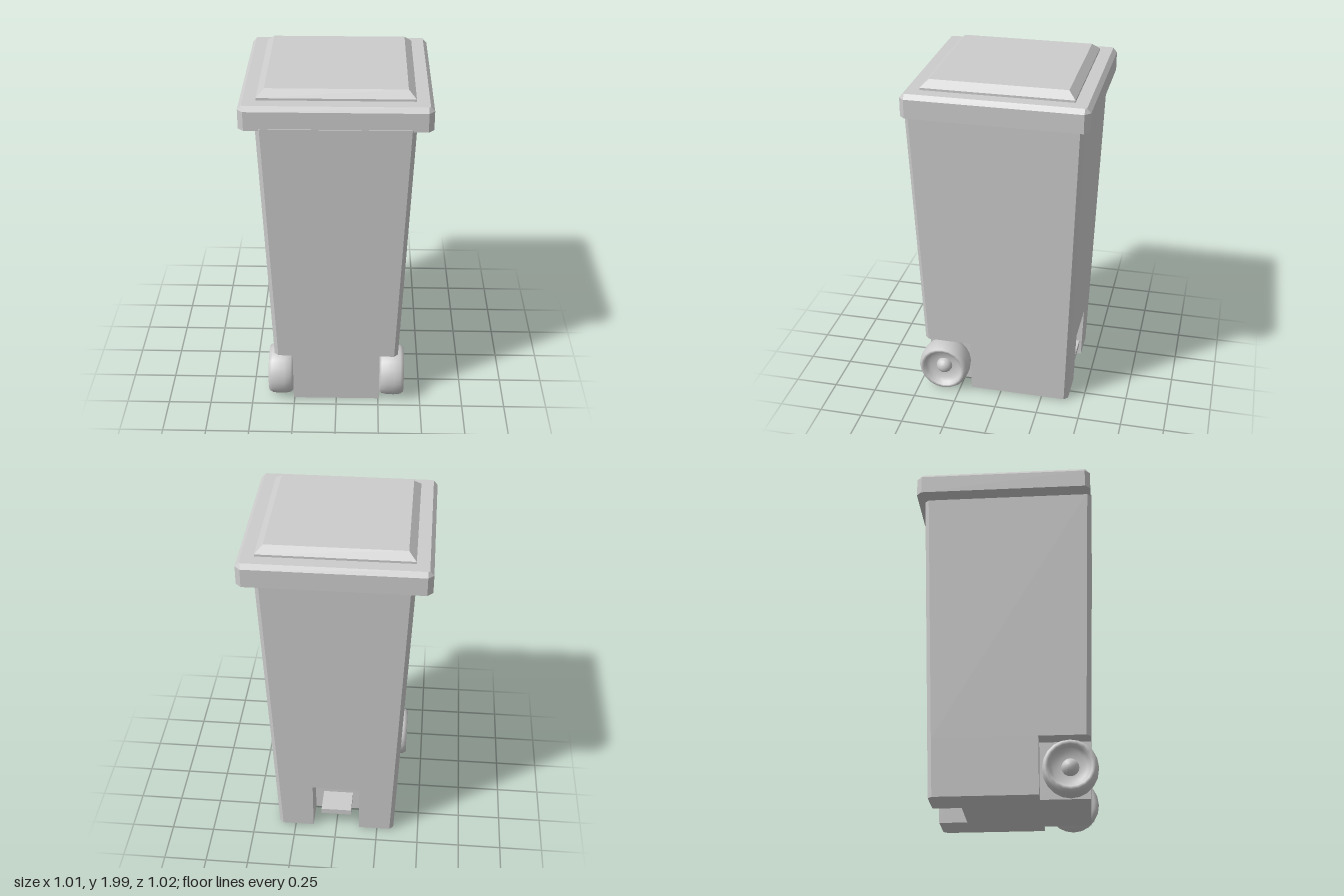
import * as THREE from 'three';

const material = new THREE.MeshStandardMaterial({ color: 0xcccccc });
const flat = new THREE.MeshStandardMaterial({ color: 0xcccccc, flatShading: true });

// Joins horizontal rings of [x, z] corners, given as { y, ring }, and caps the ends.
function loft(levels, capBottom = true, capTop = true) {
  const pos = [];
  const put = (level, i) => pos.push(level.ring[i][0], level.y, level.ring[i][1]);
  for (let k = 0; k < levels.length - 1; k++) {
    const lo = levels[k], hi = levels[k + 1], n = lo.ring.length;
    for (let i = 0; i < n; i++) {
      const j = (i + 1) % n;
      put(lo, i); put(lo, j); put(hi, j);
      put(lo, i); put(hi, j); put(hi, i);
    }
  }
  const cap = (level, up) => {
    const outline = level.ring.map(([x, z]) => new THREE.Vector2(x, -z));
    for (const [a, b, c] of THREE.ShapeUtils.triangulateShape(outline, [])) {
      for (const i of up ? [a, b, c] : [c, b, a]) put(level, i);
    }
  };
  if (capBottom) cap(levels[0], false);
  if (capTop) cap(levels[levels.length - 1], true);
  const geometry = new THREE.BufferGeometry();
  geometry.setAttribute('position', new THREE.Float32BufferAttribute(pos, 3));
  geometry.computeVertexNormals();
  return geometry;
}

// Rectangle with chamfered corners.
const chamferRect = (w, back, front, c) => [
  [-w + c, front], [w - c, front], [w, front - c], [w, back + c],
  [w - c, back], [-w + c, back], [-w, back + c], [-w, front - c],
];

const BOTTOM = 0.02, NOTCH_TOP = 0.343, TOP = 1.83, CHAMFER = 0.023;

// Tapering body size at height y.
function bodySize(y) {
  const t = (y - BOTTOM) / (TOP - BOTTOM);
  return { w: 0.35 + 0.068 * t, front: 0.45 + 0.06 * t, back: -0.41 - 0.062 * t };
}

function bodyRing(y) {
  const { w, front, back } = bodySize(y);
  return { y, ring: chamferRect(w, back, front, CHAMFER) };
}

// Base outline with two front wheel recesses and a rear pedal recess.
function baseRing(y) {
  const { w, front, back } = bodySize(y);
  const half = [
    [0.255, front], [0.255, 0.18], [w, 0.18], [w, back + CHAMFER],
    [w - CHAMFER, back], [0.14, back], [0.14, -0.25],
  ];
  const mirrored = half.map(([x, z]) => [-x, z]).reverse();
  return { y, ring: [...half, ...mirrored] };
}

function createWheel() {
  const wheel = new THREE.Group();
  const profile = [
    [0, 0], [0.125, 0], [0.143, 0.015], [0.15, 0.05], [0.151, 0.09], [0.147, 0.125],
    [0.135, 0.145], [0.118, 0.145], [0.108, 0.122], [0.09, 0.105], [0.05, 0.098], [0, 0.098],
  ].map(([r, h]) => new THREE.Vector2(r, h));
  const tyre = new THREE.Mesh(new THREE.LatheGeometry(profile, 20), material);
  tyre.name = 'tyre';
  const hub = new THREE.Mesh(new THREE.SphereGeometry(0.048, 16, 10), material);
  hub.name = 'hub';
  hub.position.y = 0.098;
  wheel.add(tyre, hub);
  return wheel;
}

export function createModel() {
  const bin = new THREE.Group();
  bin.name = 'wheeledBin';
  const add = (name, geometry) => {
    const mesh = new THREE.Mesh(geometry, flat);
    mesh.name = name;
    bin.add(mesh);
    return mesh;
  };

  // Body: plain upper part above a notched base
  add('body', loft([bodyRing(NOTCH_TOP), bodyRing(TOP)]));
  add('base', loft([baseRing(BOTTOM), baseRing(NOTCH_TOP)], true, false));

  // Lid with bevelled rim and raised panel
  add('lid', loft([
    { y: 1.82, ring: chamferRect(0.507, -0.51, 0.505, 0.03) },
    { y: 1.925, ring: chamferRect(0.507, -0.51, 0.505, 0.03) },
    { y: 1.95, ring: chamferRect(0.485, -0.488, 0.483, 0.008) },
  ]));
  const panelRing = (w, back, front) => [[-w, front], [w, front], [w, back], [-w, back]];
  add('lidPanel', loft([
    { y: 1.94, ring: panelRing(0.415, -0.418, 0.412) },
    { y: 1.962, ring: panelRing(0.415, -0.418, 0.412) },
    { y: 2.0, ring: panelRing(0.374, -0.378, 0.371) },
  ], false, true));

  // Foot pedal in the rear recess
  const pedal = add('pedal', new THREE.BoxGeometry(0.18, 0.035, 0.16));
  pedal.position.set(0, 0.135, -0.325);

  // Wheels
  for (const side of [1, -1]) {
    const wheel = createWheel();
    wheel.name = side > 0 ? 'leftWheel' : 'rightWheel';
    wheel.position.set(side * 0.255, 0.163, 0.347);
    wheel.rotation.z = -side * Math.PI / 2;
    bin.add(wheel);
  }
  return bin;
}
